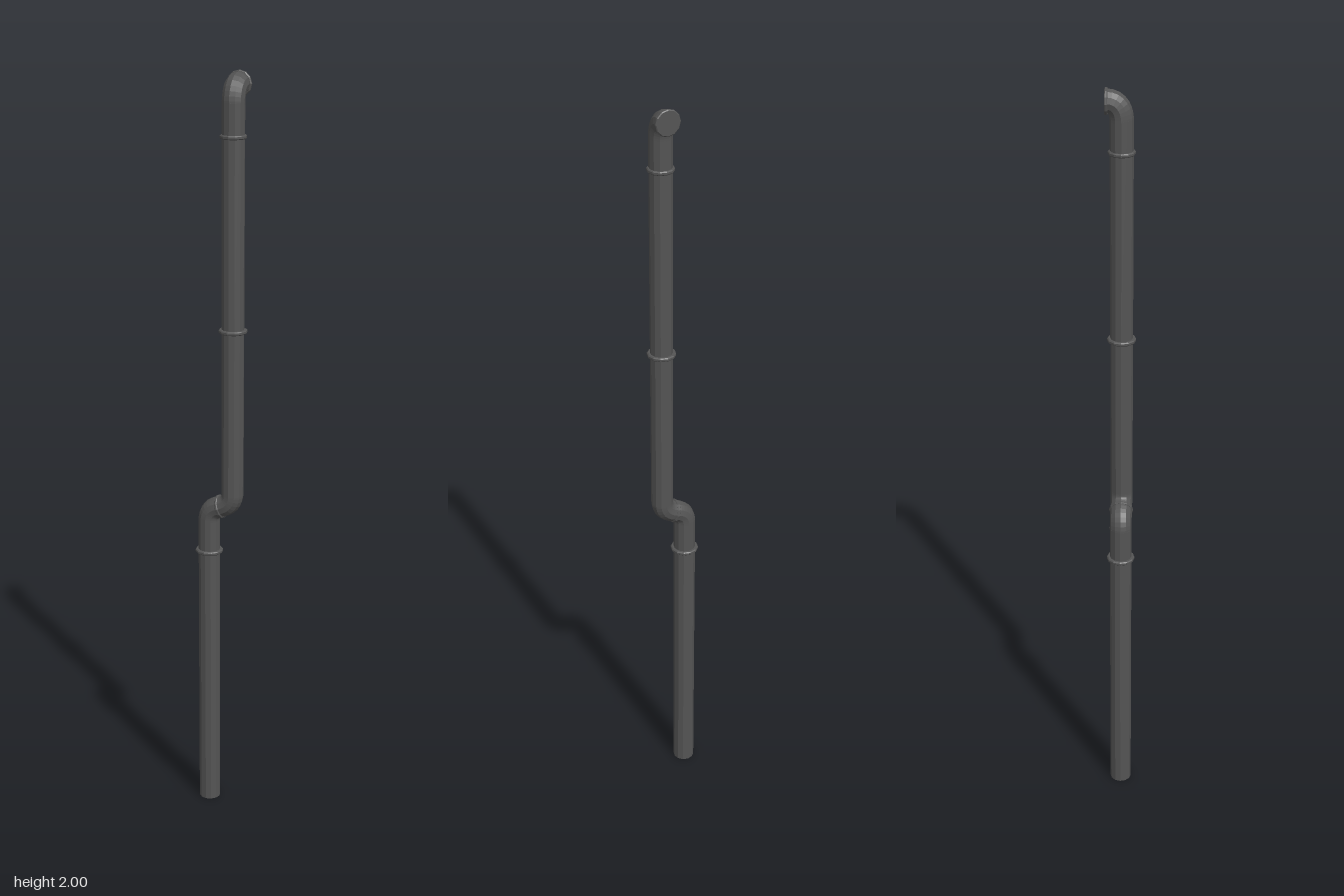
import * as THREE from 'three';

const SIDES = 12;
const R = 0.029; // pipe radius
const LOW_X = -0.033, HIGH_X = 0.034, Z = 0.001;
const v = (x, y, z = Z) => new THREE.Vector3(x, y, z);

export function createModel() {
  const group = new THREE.Group();
  const iron = new THREE.MeshStandardMaterial({ color: 0x545454, flatShading: true });
  iron.name = 'dark grey iron';

  const add = (name, geometry) => {
    const mesh = new THREE.Mesh(geometry, iron);
    mesh.name = name;
    group.add(mesh);
    return mesh;
  };

  // Straight length of pipe, closed at both ends
  const pipe = (name, x, y0, y1) =>
    add(name, new THREE.CylinderGeometry(R, R, y1 - y0, SIDES)).position.set(x, (y0 + y1) / 2, Z);

  // Collar with bevelled rims, turned to face along a direction
  const collar = (name, centre, direction, radius, height) => {
    const h = height / 2;
    const profile = [[0, -h], [radius * 0.93, -h], [radius, -h * 0.5], [radius, h * 0.5], [radius * 0.93, h], [0, h]]
      .map(([x, y]) => new THREE.Vector2(x, y));
    const mesh = add(name, new THREE.LatheGeometry(profile, SIDES));
    mesh.position.copy(centre);
    mesh.quaternion.setFromUnitVectors(v(0, 1, 0), direction.normalize());
  };

  // Curved pipe from one point to another around a corner
  const elbow = (name, from, corner1, corner2, to) =>
    add(name, new THREE.TubeGeometry(new THREE.CubicBezierCurve3(from, corner1, corner2, to), 8, R, SIDES));

  // Straight pipes
  pipe('lowerPipe', LOW_X, 0, 0.835);
  pipe('middlePipe', HIGH_X, 0.91, 1.353);
  pipe('upperPipe', HIGH_X, 1.353, 1.925);

  // Offset bend between the two pipe lines
  const mid = v(0, 0.872);
  elbow('lowerOffsetElbow', v(LOW_X, 0.83), v(LOW_X, 0.853), v(-0.022, 0.865), mid);
  elbow('upperOffsetElbow', mid, v(0.022, 0.879), v(HIGH_X, 0.891), v(HIGH_X, 0.915));
  collar('offsetCollar', mid, v(0.95, 0.3, 0), 0.032, 0.008);

  // Joint collars
  collar('lowerCollar', v(LOW_X, 0.743), v(0, 1, 0), 0.037, 0.01);
  collar('middleCollar', v(HIGH_X, 1.353), v(0, 1, 0), 0.037, 0.01);
  collar('upperCollar', v(HIGH_X, 1.843), v(0, 1, 0), 0.034, 0.01);

  // Top elbow turning to the back, ending in a flange
  elbow('topElbow', v(HIGH_X, 1.92), v(HIGH_X, 1.951), v(HIGH_X, 1.968, -0.012), v(HIGH_X, 1.968, -0.034));
  collar('wallFlange', v(HIGH_X, 1.967, -0.036), v(0, 0, -1), 0.033, 0.008);

  return group;
}
